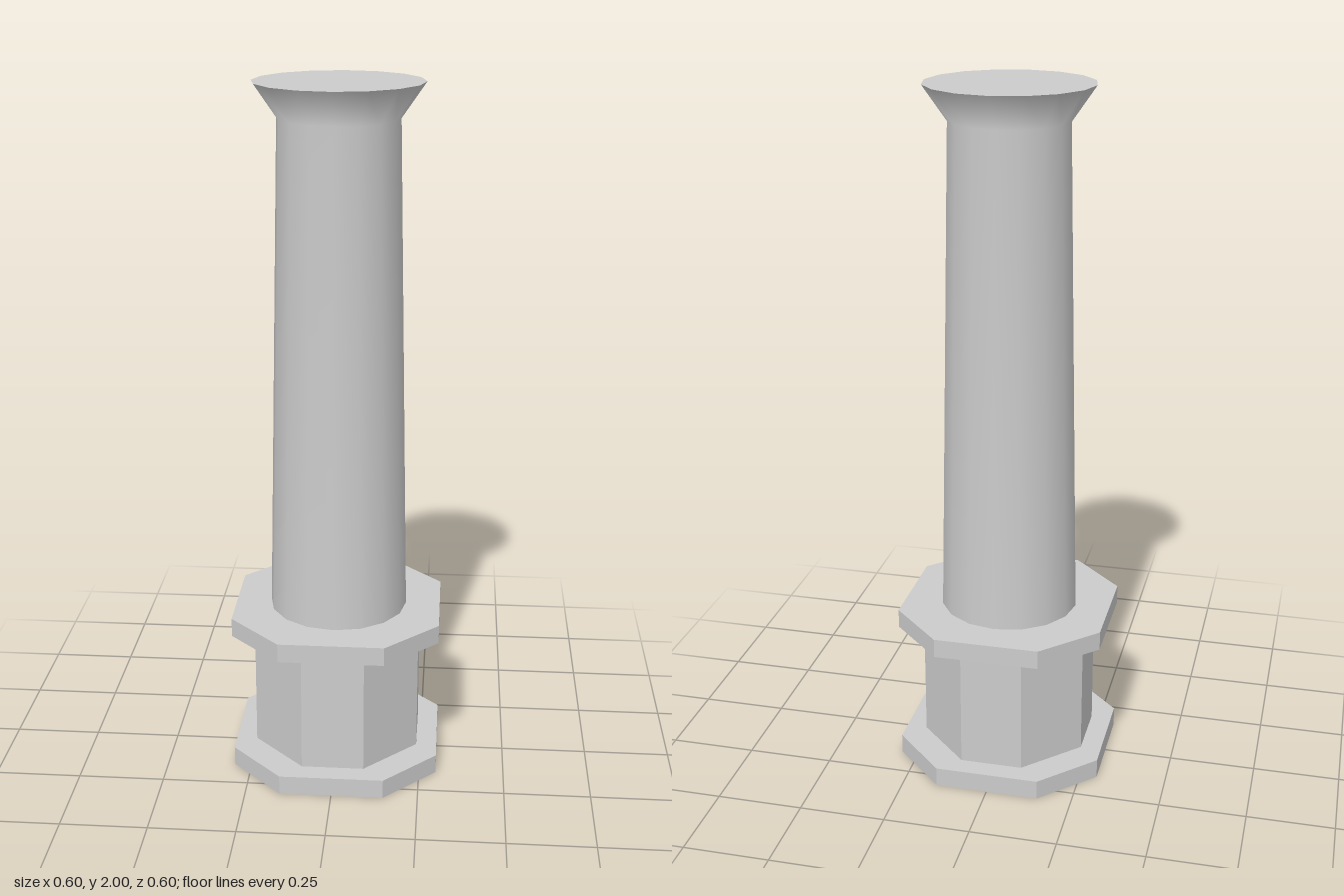
import * as THREE from 'three';

const material = new THREE.MeshStandardMaterial({ color: 0xcccccc });

// Square prism with 45 degree corners: half width, half length of the straight side, y range
function octagonPrism(name, half, side, y0, y1) {
  const shape = new THREE.Shape([
    [half, -side], [half, side], [side, half], [-side, half],
    [-half, side], [-half, -side], [-side, -half], [side, -half],
  ].map(([x, y]) => new THREE.Vector2(x, y)));
  const geometry = new THREE.ExtrudeGeometry(shape, { depth: y1 - y0, bevelEnabled: false });
  geometry.rotateX(-Math.PI / 2).translate(0, y0, 0);
  const mesh = new THREE.Mesh(geometry, material);
  mesh.name = name;
  return mesh;
}

export function createModel() {
  const model = new THREE.Group();
  model.name = 'column';
  const sides = 16;

  // Pedestal: core between two wider plates
  model.add(
    octagonPrism('basePlate', 0.3, 0.15, 0, 0.057),
    octagonPrism('pedestalCore', 0.24, 0.09, 0.057, 0.428),
    octagonPrism('upperPlate', 0.3, 0.15, 0.428, 0.483),
  );

  // Tapered shaft with a flared head, smooth shaded
  const profile = [[0.2, 0.483], [0.168, 1.903], [0.235, 2]].map(([r, y]) => new THREE.Vector2(r, y));
  const shaft = new THREE.Mesh(new THREE.LatheGeometry(profile, sides), material);
  shaft.name = 'shaft';
  model.add(shaft);

  // Flat top of the head
  const top = new THREE.Mesh(new THREE.CircleGeometry(0.235, sides).rotateX(-Math.PI / 2), material);
  top.position.y = 2;
  top.name = 'headTop';
  model.add(top);

  return model;
}
